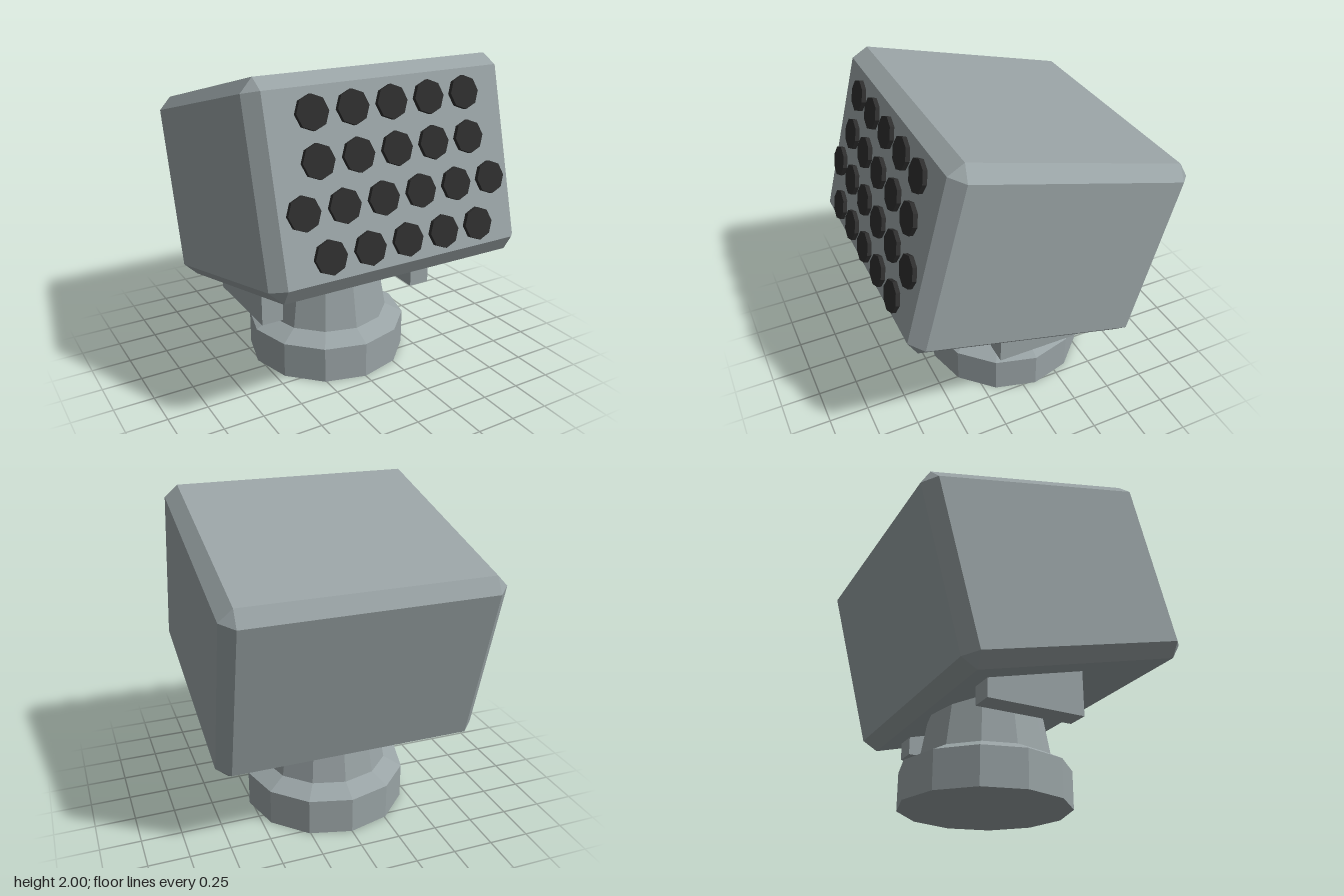
import * as THREE from 'three';
import { ConvexGeometry } from 'three/addons/geometries/ConvexGeometry.js';

const bodyGrey = new THREE.MeshStandardMaterial({ color: 0x99a3a5 });
bodyGrey.name = 'body grey';
bodyGrey.flatShading = true;
const tubeBlack = new THREE.MeshStandardMaterial({ color: 0x2d2d2d });
tubeBlack.name = 'tube black';
tubeBlack.flatShading = true;

function addMesh(parent, name, geometry, material, x = 0, y = 0, z = 0) {
  const mesh = new THREE.Mesh(geometry, material);
  mesh.name = name;
  mesh.position.set(x, y, z);
  parent.add(mesh);
  return mesh;
}

// Box with every edge and corner cut off flat
function chamferedBox(hx, hy, hz, c) {
  const points = [];
  for (const sx of [-1, 1]) for (const sy of [-1, 1]) for (const sz of [-1, 1]) {
    points.push(
      new THREE.Vector3(sx * hx, sy * (hy - c), sz * (hz - c)),
      new THREE.Vector3(sx * (hx - c), sy * hy, sz * (hz - c)),
      new THREE.Vector3(sx * (hx - c), sy * (hy - c), sz * hz)
    );
  }
  return new ConvexGeometry(points);
}

export function createModel() {
  const model = new THREE.Group();
  model.name = 'launcher';

  // Twelve-sided pedestal: foot, sloped shoulder and tapering neck
  const profile = [[0, 0], [0.517, 0], [0.517, 0.23], [0.4, 0.29], [0.31, 0.8], [0, 0.8]]
    .map(([r, y]) => new THREE.Vector2(r, y));
  addMesh(model, 'pedestal', new THREE.LatheGeometry(profile, 12), bodyGrey, 0, 0, -0.083);

  // Support blocks under the housing
  for (const side of [-1, 1]) {
    addMesh(model, side > 0 ? 'leftBracket' : 'rightBracket',
      new THREE.BoxGeometry(0.14, 0.28, 0.61), bodyGrey, side * 0.545, 0.573, -0.08);
  }

  // Tilted housing
  const head = new THREE.Group();
  head.name = 'head';
  head.position.set(0, 1.257, -0.01);
  head.rotation.x = -Math.PI / 12;
  model.add(head);
  addMesh(head, 'housing', chamferedBox(0.824, 0.59, 0.753, 0.078), bodyGrey);

  // Rows of octagonal tube caps on the front
  const cap = new THREE.CylinderGeometry(0.096, 0.096, 0.026, 8).rotateX(Math.PI / 2);
  [5, 5, 6, 5].forEach((count, row) => {
    for (let i = 0; i < count; i++) {
      addMesh(head, 'tubeCap', cap, tubeBlack,
        (i - (count - 1) / 2) * 0.244, 0.375 - row * 0.252, 0.774);
    }
  });
  return model;
}
